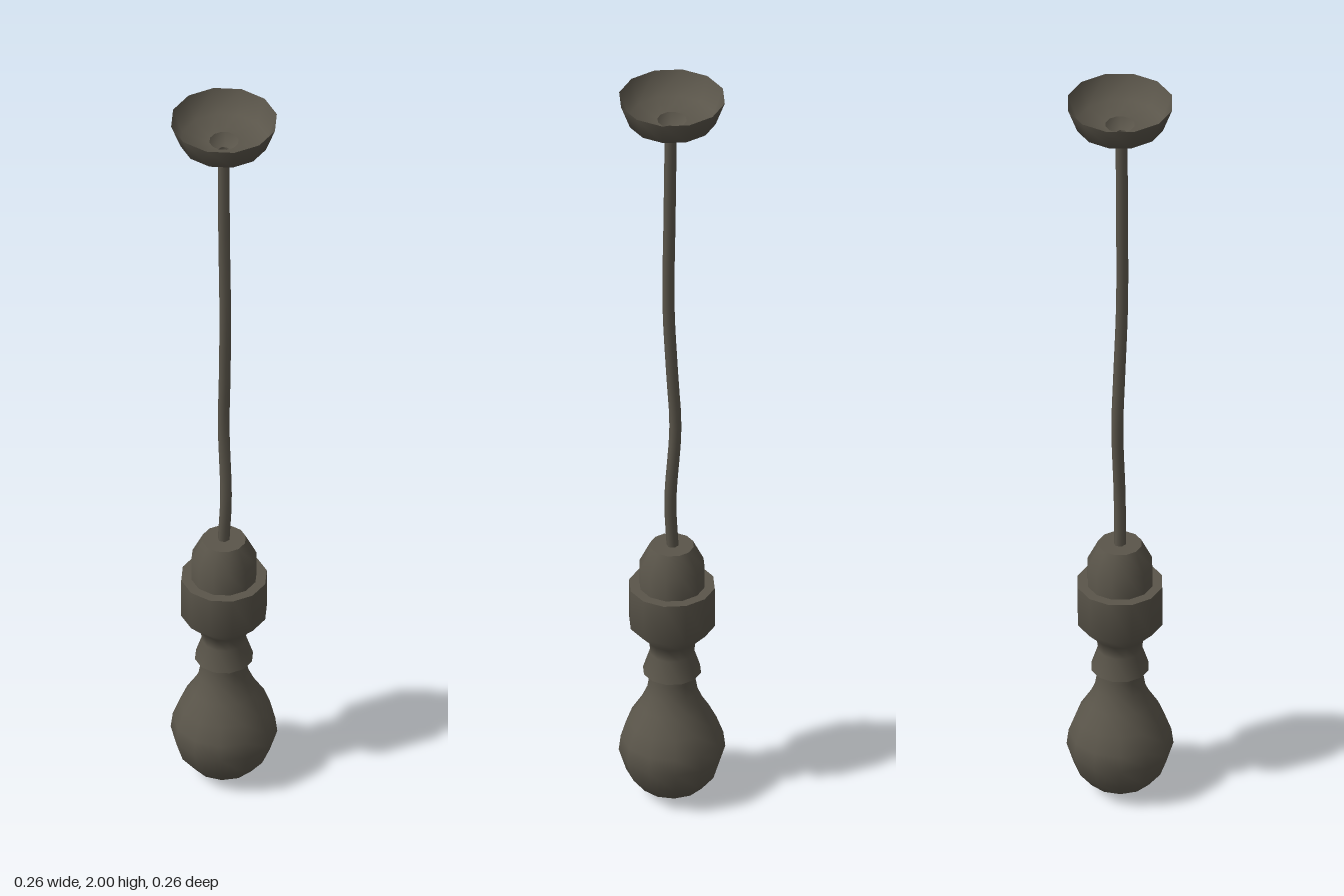
import * as THREE from 'three';

export function createModel() {
  const group = new THREE.Group();
  const dark = new THREE.MeshStandardMaterial({ color: 0x5a554a, side: THREE.DoubleSide });
  dark.name = 'dark bronze';

  // Turned part: profile of [radius, height] pairs from bottom to top
  function turned(name, profile, sides, turn = 0) {
    const points = profile.map(([r, y]) => new THREE.Vector2(r, y));
    const mesh = new THREE.Mesh(new THREE.LatheGeometry(points, sides, turn), dark);
    mesh.name = name;
    group.add(mesh);
  }

  // Open ceiling cup with its small six-sided cord grip
  turned('ceilingCup', [[0.036, 1.937], [0.108, 1.937], [0.131, 2]], 12);
  turned('cordGrip', [[0, 1.9], [0.034, 1.9], [0.052, 1.937]], 6, 0.25);

  // Slightly wavy hanging cord
  const path = new THREE.CatmullRomCurve3([
    [-0.003, 1.91, 0.002], [-0.004, 1.65, 0.005], [-0.003, 1.4, 0.008], [0.002, 1.2, 0],
    [0.005, 1.05, -0.007], [0.002, 0.84, 0.005], [0, 0.7, -0.002],
  ].map((p) => new THREE.Vector3(...p)));
  const cord = new THREE.Mesh(new THREE.TubeGeometry(path, 24, 0.015, 6), dark);
  cord.name = 'cord';
  group.add(cord);

  // Lamp holder: top cap, wide collar and flared skirt
  turned('holderLid', [[0.054, 0.71], [0, 0.71]], 12);
  turned('holderCap', [[0.081, 0.59], [0.081, 0.655], [0.054, 0.71]], 12);
  turned('collarTop', [[0.106, 0.597], [0.07, 0.597]], 12);
  turned('collar', [
    [0.072, 0.35], [0.054, 0.405], [0.059, 0.44], [0.106, 0.488], [0.106, 0.597],
  ], 12);
  turned('skirtBottom', [[0.05, 0.35], [0.072, 0.35]], 12);

  // Pear-shaped bulb
  turned('bulb', [
    [0, 0.002], [0.035, 0.008], [0.08, 0.028], [0.112, 0.068], [0.13, 0.125], [0.125, 0.165],
    [0.108, 0.21], [0.08, 0.255], [0.062, 0.295], [0.056, 0.33], [0.055, 0.37],
  ], 12, Math.PI / 12);

  return group;
}
